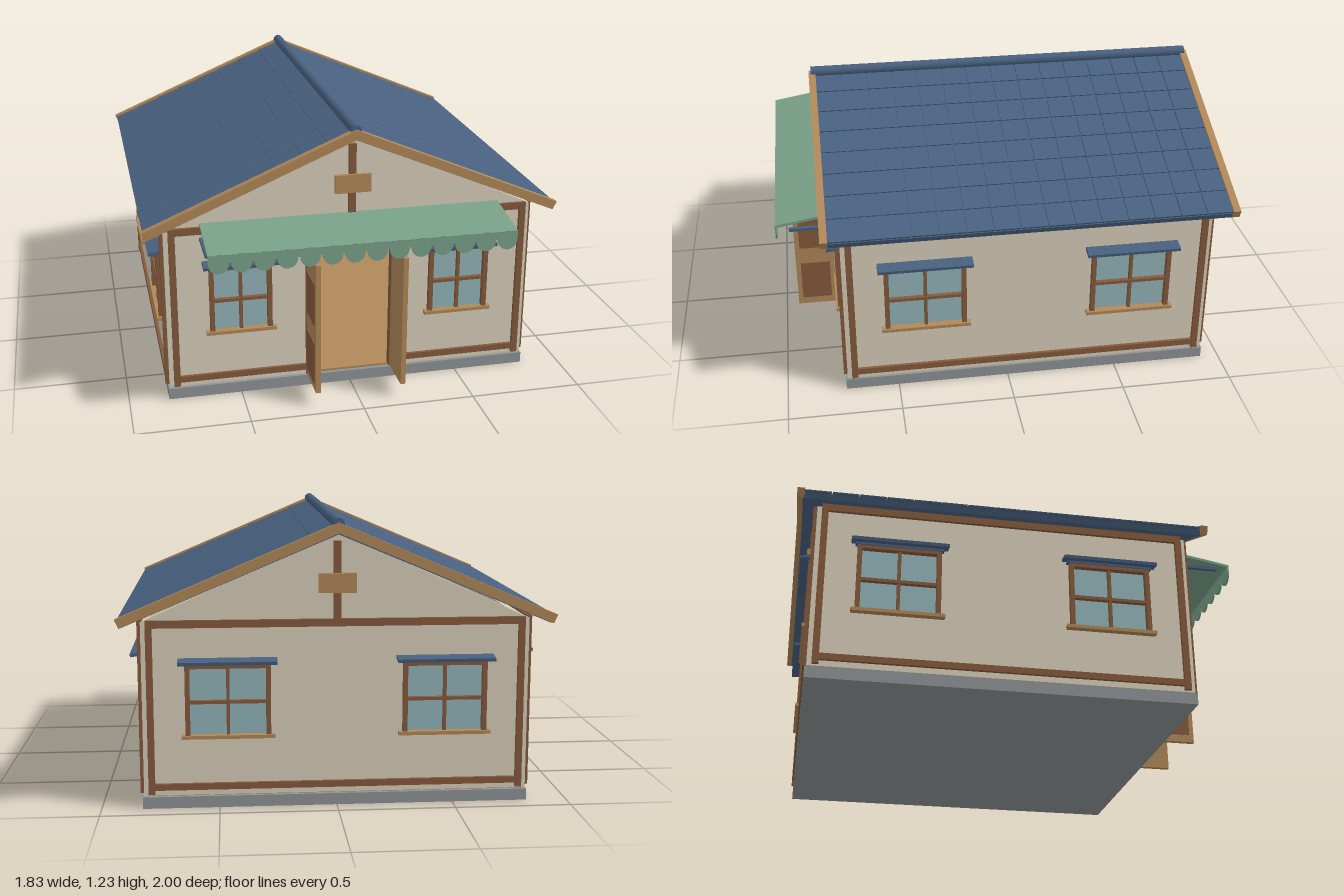
import * as THREE from 'three';
import { mergeGeometries } from 'three/addons/utils/BufferGeometryUtils.js';

const mat = (name, color) => {
  const m = new THREE.MeshStandardMaterial({ color });
  m.name = name;
  return m;
};

export function createModel() {
  const plaster = mat('plaster', 0xd8cfba);
  const darkWood = mat('dark wood', 0x855a3c);
  const lightWood = mat('light wood', 0xb08858);
  const roofBlue = mat('roof blue', 0x48607f);
  const stone = mat('stone', 0x8e9396);
  const glassMat = mat('glass', 0x92b4b8);
  const cloth = mat('awning green', 0x78a088);

  const model = new THREE.Group();
  model.name = 'house';
  const MIDZ = -0.09, HALF = 0.82;

  const group = (parent, name) => {
    const g = new THREE.Group();
    g.name = name;
    parent.add(g);
    return g;
  };
  const mesh = (parent, name, geo, m) => {
    const o = new THREE.Mesh(geo, m);
    o.name = name;
    parent.add(o);
    return o;
  };
  const box = (parent, name, m, x, y, z, w, h, d) => {
    const o = mesh(parent, name, new THREE.BoxGeometry(w, h, d), m);
    o.position.set(x, y, z);
    return o;
  };
  const polygon = (pts) => new THREE.Shape(pts.map(([x, y]) => new THREE.Vector2(x, y)));
  const extrude = (shape, depth) =>
    new THREE.ExtrudeGeometry(shape, { depth, bevelEnabled: false });

  // Foundation and floor
  box(model, 'foundation', stone, 0, 0.025, MIDZ, 1.65, 0.05, 1.655);
  box(model, 'floor', lightWood, 0, 0.055, MIDZ, 1.62, 0.01, 1.62);

  // Window with frame, cross bars, sill and small sloped hood
  function addWindow(parent, x, w) {
    const g = group(parent, 'window');
    g.position.x = x;
    box(g, 'glass', glassMat, 0, 0.465, -0.008, w, 0.31, 0.008);
    for (const s of [-1, 1]) {
      box(g, 'frameSide', darkWood, s * w / 2, 0.465, 0.008, 0.02, 0.31, 0.026);
    }
    box(g, 'frameTop', darkWood, 0, 0.613, 0.008, w + 0.02, 0.018, 0.026);
    box(g, 'crossBar', darkWood, 0, 0.46, 0.006, w + 0.02, 0.014, 0.02);
    box(g, 'uprightBar', darkWood, 0, 0.465, 0.004, 0.014, 0.3, 0.018);
    box(g, 'sill', lightWood, 0, 0.312, 0.012, w + 0.055, 0.015, 0.035);
    const hood = box(g, 'hood', roofBlue, 0, 0.636, 0.028, w + 0.075, 0.014, 0.06);
    hood.rotation.x = 0.15;
    box(g, 'hoodTrim', roofBlue, 0, 0.625, 0.012, w + 0.04, 0.01, 0.026);
  }

  // One facade, outer surface at local z = 0
  function addFacade(name, { gable, door, wx, ww }) {
    const g = group(model, name);
    const pts = [[-HALF, 0.055]];
    if (door) pts.push([-0.18, 0.055], [-0.18, 0.69], [0.18, 0.69], [0.18, 0.055]);
    pts.push([HALF, 0.055], [HALF, 0.8]);
    if (gable) pts.push([0, 1.17]);
    pts.push([-HALF, 0.8]);
    const shape = polygon(pts);
    for (const s of [-1, 1]) {
      const a = s * wx - ww / 2, b = s * wx + ww / 2;
      shape.holes.push(polygon([[a, 0.315], [a, 0.615], [b, 0.615], [b, 0.315]]));
      addWindow(g, s * wx, ww);
      box(g, 'cornerPost', darkWood, s * 0.786, 0.435, 0.005, 0.028, 0.745, 0.022);
    }
    mesh(g, 'wall', extrude(shape, 0.03), plaster).position.z = -0.03;
    box(g, 'topBeam', darkWood, 0, 0.792, 0.004, 1.6, 0.032, 0.02);
    if (door) {
      for (const s of [-1, 1]) {
        box(g, 'bottomBeam', darkWood, s * 0.49, 0.094, 0.004, 0.6, 0.028, 0.02);
        box(g, 'doorPost', darkWood, s * 0.192, 0.385, 0, 0.026, 0.65, 0.036);
      }
    } else box(g, 'bottomBeam', darkWood, 0, 0.094, 0.004, 1.6, 0.028, 0.02);
    if (gable) {
      box(g, 'gablePost', darkWood, 0, 0.97, 0.006, 0.032, 0.33, 0.02);
      box(g, 'gablePlaque', lightWood, 0, 0.96, 0.02, 0.16, 0.082, 0.018);
    }
    return g;
  }
  addFacade('frontFacade', { gable: true, door: true, wx: 0.495, ww: 0.255 }).position.z = MIDZ + HALF;
  const back = addFacade('backFacade', { gable: true, wx: 0.46, ww: 0.34 });
  back.position.z = MIDZ - HALF;
  back.rotation.y = Math.PI;
  for (const s of [-1, 1]) {
    const side = addFacade(s > 0 ? 'leftFacade' : 'rightFacade', { wx: 0.46, ww: 0.34 });
    side.position.set(s * HALF, 0, MIDZ);
    side.rotation.y = s * Math.PI / 2;
  }

  // Door leaves standing open, panels on the outer face
  for (const s of [-1, 1]) {
    const d = group(model, 'doorLeaf');
    box(d, 'leaf', lightWood, s * 0.192, 0.368, 0.845, 0.022, 0.605, 0.185);
    for (const y of [0.2, 0.48]) {
      box(d, 'doorPanel', darkWood, s * 0.205, y, 0.845, 0.006, 0.195, 0.14);
    }
  }

  // Roof slab and tiles on each slope
  const roof = group(model, 'roof');
  const slab = polygon([[-0.905, 0.812], [-0.895, 0.788], [0, 1.165],
    [0.895, 0.788], [0.905, 0.812], [0, 1.194]]);
  mesh(roof, 'roofSlab', extrude(slab, 1.76), roofBlue).position.z = -0.975;

  const angle = Math.atan2(0.382, 0.905), length = Math.hypot(0.382, 0.905);
  const rows = 8, cols = 15, rowL = length / rows, colW = 1.75 / cols;
  const tiles = [];
  for (let r = 0; r < rows; r++) {
    for (let c = 0; c < cols; c++) {
      const t = new THREE.BoxGeometry(rowL, 0.008, colW - 0.004);
      t.rotateZ(0.04);
      t.translate((r + 0.5) * rowL, 0.004, -0.97 + (c + 0.5) * colW);
      tiles.push(t);
    }
  }
  const tileGeo = mergeGeometries(tiles);
  for (const s of [-1, 1]) {
    const slope = group(roof, 'roofSlope');
    slope.position.y = 1.196;
    slope.rotation.set(0, s > 0 ? 0 : Math.PI, -s * angle);
    // the turned slope keeps the same span in depth
    if (s < 0) {
      slope.rotation.set(0, Math.PI, 0);
      slope.position.z = -0.19;
    } else slope.rotation.set(0, 0, 0);
    mesh(slope, 'roofTiles', tileGeo, roofBlue).rotation.z = -angle;
  }
  const ridge = mesh(roof, 'ridgeCap', new THREE.CylinderGeometry(0.024, 0.024, 1.79, 12), roofBlue);
  ridge.rotation.x = Math.PI / 2;
  ridge.position.set(0, 1.21, -0.093);

  // Gable boards
  const barge = polygon([[-0.917, 0.826], [-0.9, 0.79], [0, 1.172],
    [0.9, 0.79], [0.917, 0.826], [0, 1.215]]);
  for (const z of [0.78, -1]) {
    mesh(roof, 'gableBoard', extrude(barge, 0.032), lightWood).position.z = z;
  }

  // Awning with scalloped edge and side arms
  const awning = group(model, 'awning');
  const sheet = box(awning, 'awningSheet', cloth, 0, 0.798, 0.868, 1.33, 0.012, 0.264);
  sheet.rotation.x = 0.171;
  box(awning, 'valance', cloth, 0, 0.762, 0.995, 1.33, 0.032, 0.008);
  for (let i = 0; i < 14; i++) {
    const disc = mesh(awning, 'scallop', new THREE.CylinderGeometry(0.043, 0.043, 0.008, 20), cloth);
    disc.rotation.x = Math.PI / 2;
    disc.position.set((i - 6.5) * 0.0955, 0.742, 0.995);
  }
  for (const s of [-1, 1]) {
    box(awning, 'awningArm', roofBlue, s * 0.66, 0.755, 0.84, 0.016, 0.014, 0.2);
  }
  return model;
}
